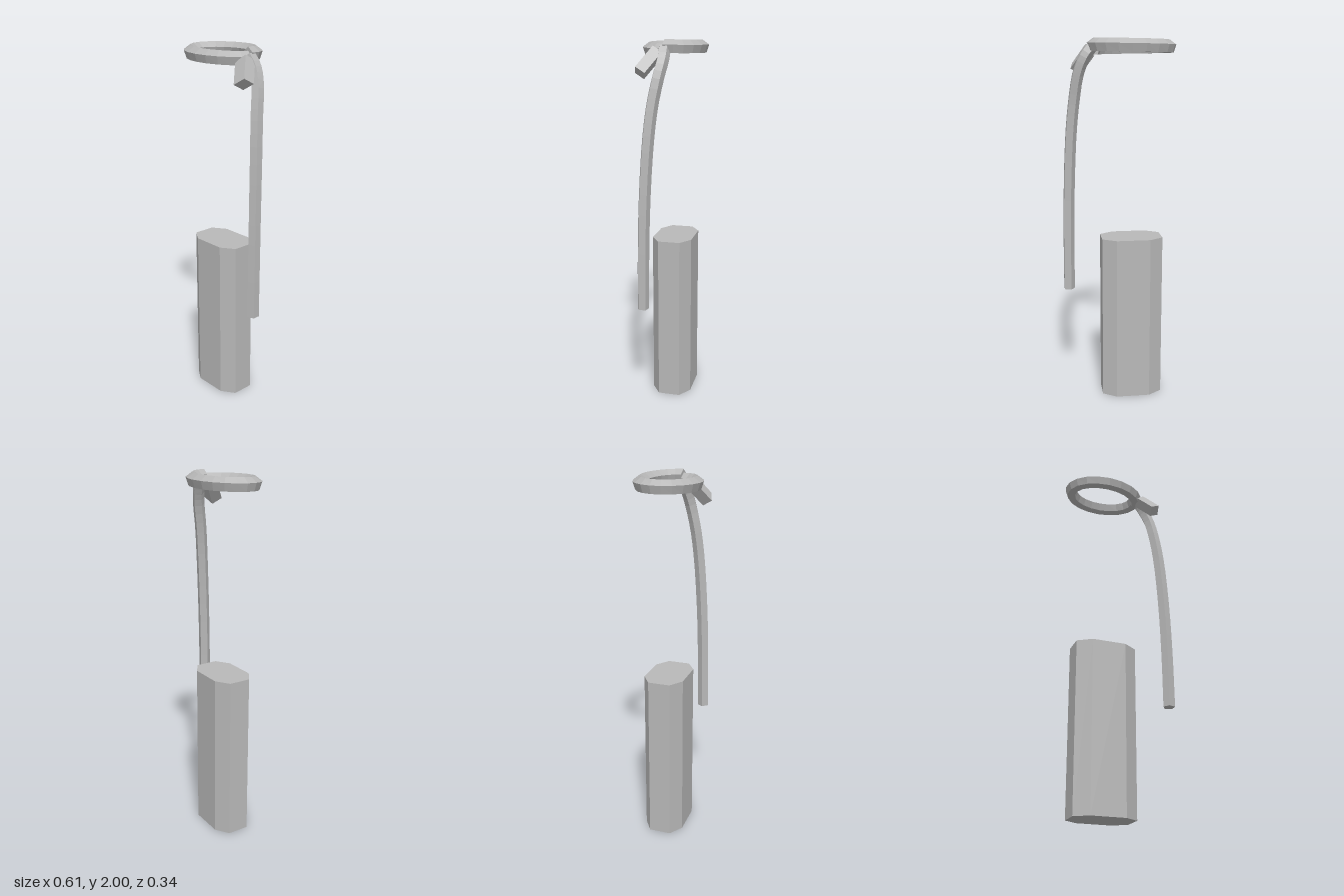
import * as THREE from 'three';

const V = (x, y, z) => new THREE.Vector3(x, y, z);

// Joins equal cross-section loops into a closed, flat-faced solid with end caps.
// Each loop turns right-handed about the direction of travel.
function loft(loops) {
  const n = loops[0].length;
  const pos = [];
  const tri = (a, b, c) => [a, b, c].forEach((p) => pos.push(p.x, p.y, p.z));
  for (let i = 0; i < loops.length - 1; i++) {
    for (let j = 0; j < n; j++) {
      const k = (j + 1) % n;
      const a = loops[i][j], b = loops[i][k], c = loops[i + 1][k], d = loops[i + 1][j];
      tri(a, b, c);
      tri(a, c, d);
    }
  }
  const first = loops[0], last = loops[loops.length - 1];
  for (let j = 1; j < n - 1; j++) {
    tri(first[0], first[j + 1], first[j]);
    tri(last[0], last[j], last[j + 1]);
  }
  const g = new THREE.BufferGeometry();
  g.setAttribute('position', new THREE.Float32BufferAttribute(pos, 3));
  g.computeVertexNormals();
  return g;
}

// Five points of a regular pentagon as [a, b] offsets
const pentagon = (r, start) => Array.from({ length: 5 }, (_, i) => {
  const t = start + (i * Math.PI * 2) / 5;
  return [r * Math.cos(t), r * Math.sin(t)];
});

export function createModel() {
  const group = new THREE.Group();
  const grey = new THREE.MeshStandardMaterial({ color: 0xb8b8b8, flatShading: true });
  grey.name = 'grey';
  const add = (name, geometry) => {
    const mesh = new THREE.Mesh(geometry, grey);
    mesh.name = name;
    group.add(mesh);
  };
  const cx = -0.073;

  // Pillar: octagonal prism
  const corners = [
    [0.168, 0.06], [0.168, -0.06], [0.093, -0.11], [-0.093, -0.11],
    [-0.168, -0.06], [-0.168, 0.06], [-0.093, 0.11], [0.093, 0.11],
  ];
  add('pillar', loft([0, 0.926].map((y) => corners.map(([x, z]) => V(cx + x, y, z)))));

  // Ring: pentagonal section on an oval that rises slightly along its turn
  const ringSection = pentagon(0.037, Math.PI / 2);
  const ringLoops = [];
  const steps = 20;
  for (let i = 0; i <= steps; i++) {
    const t = 0.08 + (i / steps) * Math.PI * 2;
    const y = 1.943 + 0.02 * (i / steps);
    ringLoops.push(ringSection.map(([a, b]) =>
      V(cx + (0.202 + a) * Math.cos(t), y + b, (0.136 + a) * Math.sin(t))));
  }
  add('ring', loft(ringLoops));

  // Strap: pentagonal section hanging from the ring
  const path = new THREE.CatmullRomCurve3([
    V(0.135, 1.957, 0.01), V(0.175, 1.905, 0.008), V(0.21, 1.82, 0.024),
    V(0.233, 1.68, 0.05), V(0.251, 1.5, 0.069), V(0.265, 1.2, 0.086),
    V(0.271, 0.9, 0.094), V(0.272, 0.6, 0.097),
  ]);
  const strapSection = pentagon(0.033, THREE.MathUtils.degToRad(34));
  const strapLoops = [];
  for (let i = 0; i <= 20; i++) {
    const p = path.getPoint(i / 20);
    const t = path.getTangent(i / 20);
    const v = V(0, 0, 1).addScaledVector(t, -t.z).normalize();
    const u = v.clone().cross(t);
    strapLoops.push(strapSection.map(([a, b]) =>
      p.clone().addScaledVector(u, a).addScaledVector(v, b)));
  }
  add('strap', loft(strapLoops));

  // Clasp: slanted square block where the ring meets the strap
  const claspTop = [
    V(0.165, 1.969, 0.062), V(0.11, 1.935, 0.08),
    V(0.123, 1.906, 0.028), V(0.178, 1.94, 0.01),
  ];
  const slant = V(0.068, -0.1, 0.073);
  add('clasp', loft([claspTop, claspTop.map((p) => p.clone().add(slant))]));

  return group;
}
